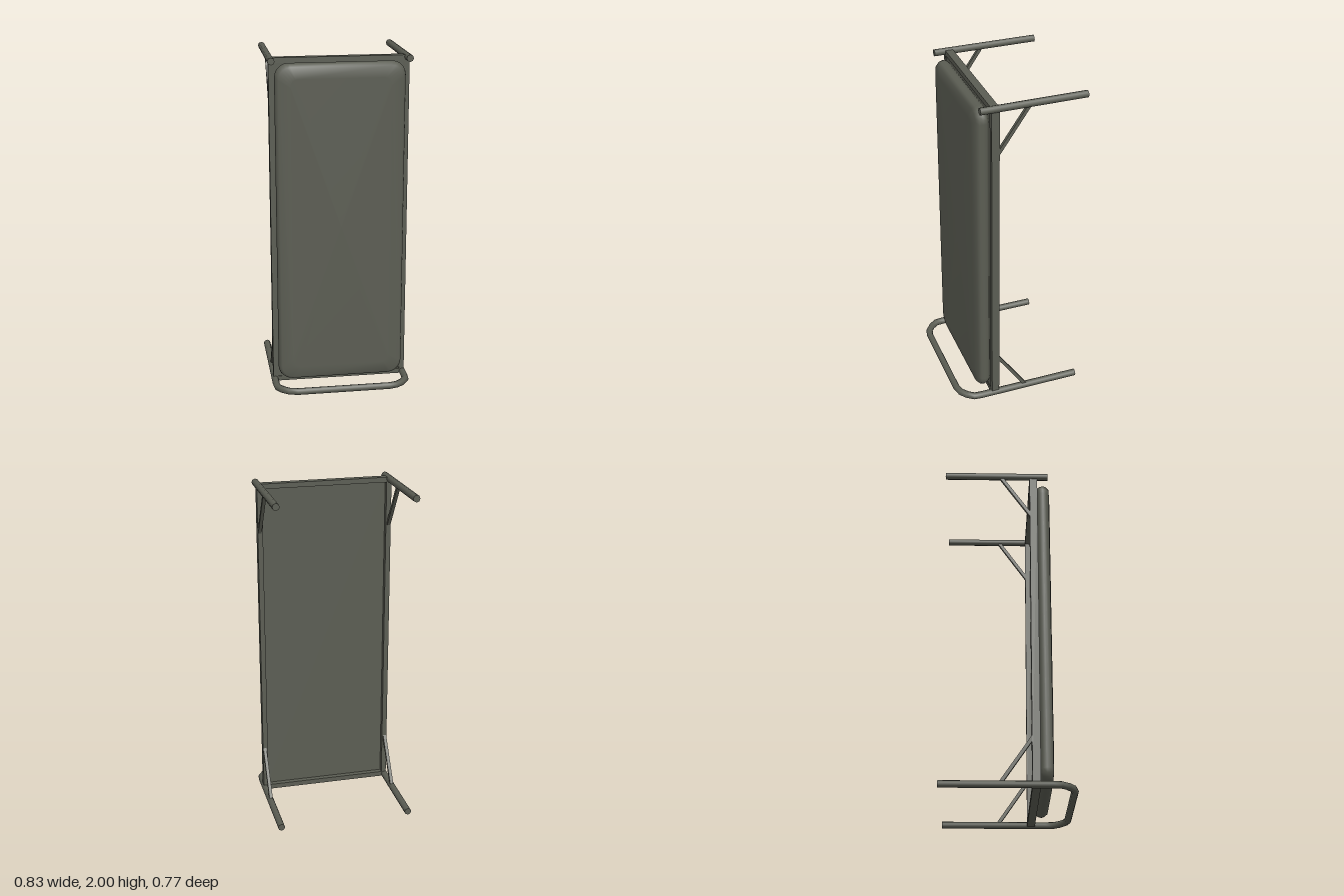
import * as THREE from 'three';

const oliveGrey = new THREE.MeshStandardMaterial({ color: 0x5b5d53 });
oliveGrey.name = 'oliveGrey';

const TUBE_R = 0.021;
const CENTRE_Y = 1.0;

function add(parent, geometry, name, x = 0, y = 0, z = 0) {
  const mesh = new THREE.Mesh(geometry, oliveGrey);
  mesh.name = name;
  mesh.position.set(x, y, z);
  parent.add(mesh);
  return mesh;
}

// Curve that passes straight from point to point, one tube segment per span
class BentPath extends THREE.Curve {
  constructor(points) { super(); this.points = points; }
  getPoint(t, target = new THREE.Vector3()) {
    const n = this.points.length - 1;
    const i = Math.min(Math.floor(t * n), n - 1);
    return target.lerpVectors(this.points[i], this.points[i + 1], t * n - i);
  }
  getUtoTmapping(u) { return u; }
}

// Rounded rectangle outline, counter-clockwise seen from the front
function outline(hx, hy, r, z) {
  const steps = 5, pts = [];
  for (let c = 0; c < 4; c++) {
    const sx = c === 0 || c === 3 ? 1 : -1, sy = c < 2 ? 1 : -1;
    for (let i = 0; i <= steps; i++) {
      const a = (c + i / steps) * Math.PI / 2;
      pts.push([sx * (hx - r) + r * Math.cos(a), sy * (hy - r) + r * Math.sin(a), z]);
    }
  }
  return pts;
}

// Soft mattress lofted from back to front
function mattressGeometry() {
  const rings = [
    outline(0.355, 0.94, 0.06, 0.168),
    outline(0.37, 0.955, 0.075, 0.185),
    outline(0.376, 0.961, 0.08, 0.206),
    outline(0.371, 0.956, 0.078, 0.226),
    outline(0.356, 0.941, 0.07, 0.243),
    outline(0.29, 0.875, 0.045, 0.25),
  ];
  const n = rings[0].length, pos = rings.flat(2), idx = [];
  for (let i = 0; i < rings.length - 1; i++) {
    for (let j = 0; j < n; j++) {
      const k = (j + 1) % n;
      const a = i * n + j, b = i * n + k, c = b + n, d = a + n;
      idx.push(a, b, c, a, c, d);
    }
  }
  // Flat back and front
  const last = (rings.length - 1) * n, back = pos.length / 3;
  pos.push(0, 0, 0.168, 0, 0, 0.25);
  for (let j = 0; j < n; j++) {
    const k = (j + 1) % n;
    idx.push(back, k, j, back + 1, last + j, last + k);
  }
  const g = new THREE.BufferGeometry();
  g.setAttribute('position', new THREE.Float32BufferAttribute(pos, 3));
  g.setIndex(idx);
  g.computeVertexNormals();
  return g;
}

export function createModel() {
  const model = new THREE.Group();
  model.name = 'uprightFoldingBed';

  // Rectangular frame with a thin backing sheet
  const frame = new THREE.Group();
  frame.name = 'frame';
  model.add(frame);
  for (const s of [-1, 1]) {
    add(frame, new THREE.BoxGeometry(0.03, 1.98, 0.046), 'sideRail', s * 0.39, CENTRE_Y, 0.148);
    add(frame, new THREE.BoxGeometry(0.75, 0.03, 0.046), 'endRail', 0, CENTRE_Y + s * 0.975, 0.148);
  }
  add(frame, new THREE.BoxGeometry(0.75, 1.92, 0.01), 'backingSheet', 0, CENTRE_Y, 0.162);

  add(model, mattressGeometry(), 'mattress', 0, 1.004, 0);

  // Straight upper legs
  const leg = new THREE.CylinderGeometry(TUBE_R, TUBE_R, 0.62, 8).rotateX(Math.PI / 2);
  for (const s of [-1, 1]) add(model, leg, 'upperLeg', s * 0.395, 2 - TUBE_R, -0.075);

  // Lower legs joined by a bent loop in front
  const half = [[0.395, -0.385], [0.395, 0.235], [0.391, 0.282], [0.364, 0.32], [0.325, 0.35], [0.278, 0.362]];
  const path = [
    ...half.map(([x, z]) => new THREE.Vector3(-x, 0, z)),
    ...half.slice().reverse().map(([x, z]) => new THREE.Vector3(x, 0, z)),
  ];
  const lower = new THREE.Group();
  lower.name = 'lowerLegLoop';
  lower.position.y = TUBE_R;
  model.add(lower);
  add(lower, new THREE.TubeGeometry(new BentPath(path), path.length - 1, TUBE_R, 8), 'loopTube');
  for (const s of [-1, 1]) {
    add(lower, new THREE.CircleGeometry(TUBE_R, 8).rotateY(Math.PI), 'tubeEnd', s * 0.395, 0, -0.385);
  }

  // Diagonal braces between side rails and legs
  const dz = 0.18, dy = 0.265;
  const braceGeo = new THREE.BoxGeometry(0.02, Math.hypot(dz, dy), 0.02);
  for (const sx of [-1, 1]) {
    for (const sy of [-1, 1]) {
      const brace = add(model, braceGeo, 'brace', sx * 0.393, CENTRE_Y + sy * 0.834, 0.045);
      brace.rotation.x = -sy * Math.atan2(dz, dy);
    }
  }
  return model;
}
